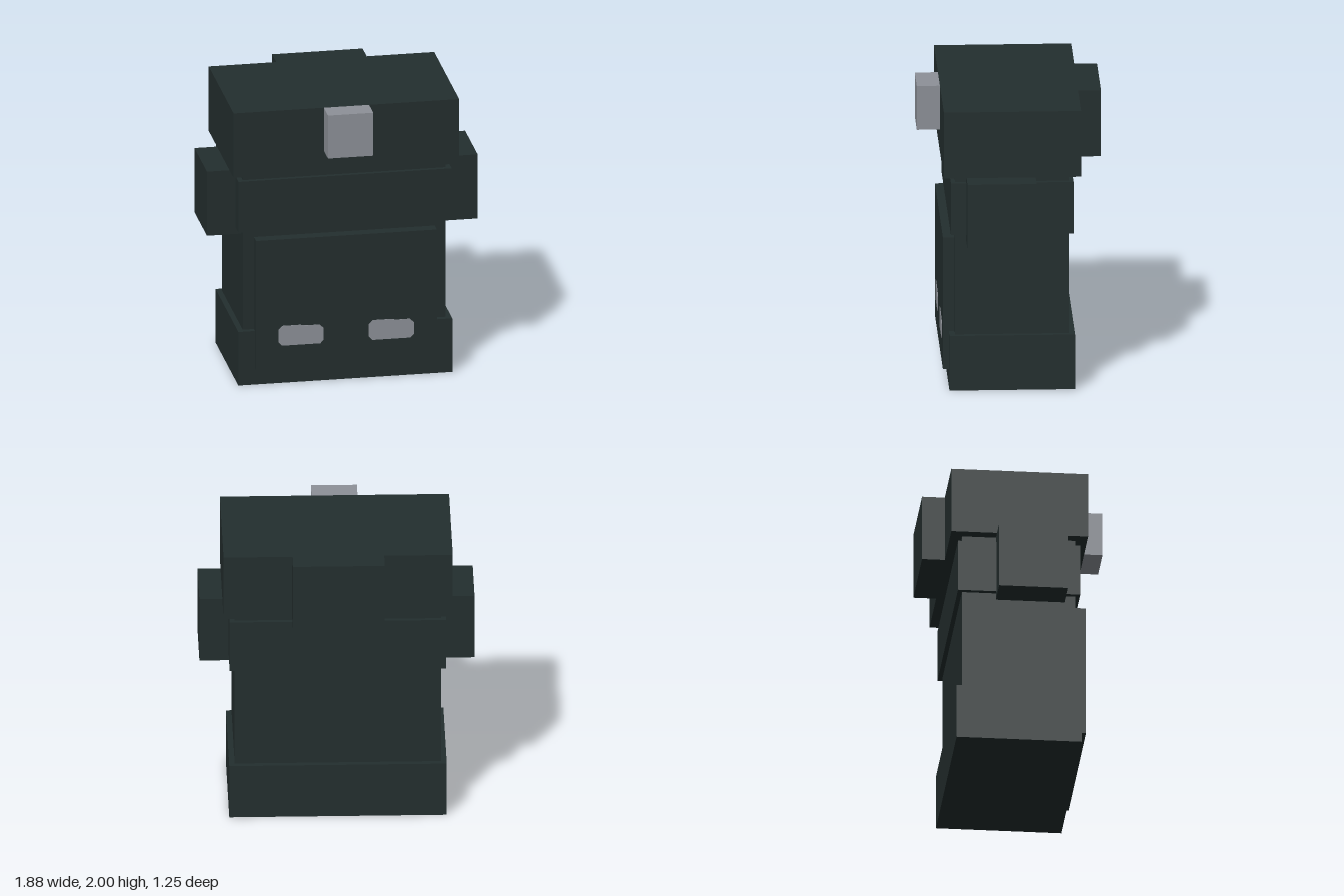
import * as THREE from 'three';

export function createModel() {
  const model = new THREE.Group();
  model.name = 'backpack';
  const fabric = new THREE.MeshStandardMaterial({ color: 0x232e2e });
  fabric.name = 'dark fabric';
  const metal = new THREE.MeshStandardMaterial({ color: 0x8d9198 });
  metal.name = 'grey metal';

  // Box given by its limits on each axis
  function box(name, material, [x0, x1], [y0, y1], [z0, z1]) {
    const mesh = new THREE.Mesh(new THREE.BoxGeometry(x1 - x0, y1 - y0, z1 - z0), material);
    mesh.position.set((x0 + x1) / 2, (y0 + y1) / 2, (z0 + z1) / 2);
    mesh.name = name;
    model.add(mesh);
  }

  // Main bag
  box('base', fabric, [-0.743, 0.743], [0, 0.39], [-0.43, 0.43]);
  box('body', fabric, [-0.705, 0.705], [0.39, 1.53], [-0.39, 0.39]);
  box('band', fabric, [-0.74, 0.74], [1.11, 1.48], [-0.42, 0.42]);
  box('lid', fabric, [-0.783, 0.783], [1.53, 2], [-0.47, 0.47]);
  box('backBlock', fabric, [-0.314, 0.314], [1.53, 2], [-0.626, -0.47]);
  box('frontPocket', fabric, [-0.628, 0.628], [0.12, 1.06], [0.38, 0.47]);
  box('clasp', metal, [-0.157, 0.157], [1.687, 2], [0.47, 0.628]);

  // Side pockets
  for (const [side, name] of [[1, 'leftPocket'], [-1, 'rightPocket']]) {
    const x = [side * 0.7, side * 0.94].sort((a, b) => a - b);
    box(name, fabric, x, [1.063, 1.53], [-0.157, 0.315]);
  }

  // Thin plates with clipped corners on the front pocket
  const outline = [
    [0.025, 0], [0.29, 0], [0.314, 0.025], [0.314, 0.11], [0.285, 0.137],
    [0.19, 0.137], [0.15, 0.144], [0.03, 0.144], [0, 0.118], [0, 0.025],
  ].map(([x, y]) => new THREE.Vector2(x, y));
  const plate = new THREE.ExtrudeGeometry(new THREE.Shape(outline), { depth: 0.004, bevelEnabled: false });
  for (const [x, name] of [[0.155, 'leftPlate'], [-0.472, 'rightPlate']]) {
    const mesh = new THREE.Mesh(plate, metal);
    mesh.position.set(x, 0.286, 0.469);
    mesh.name = name;
    model.add(mesh);
  }
  return model;
}
